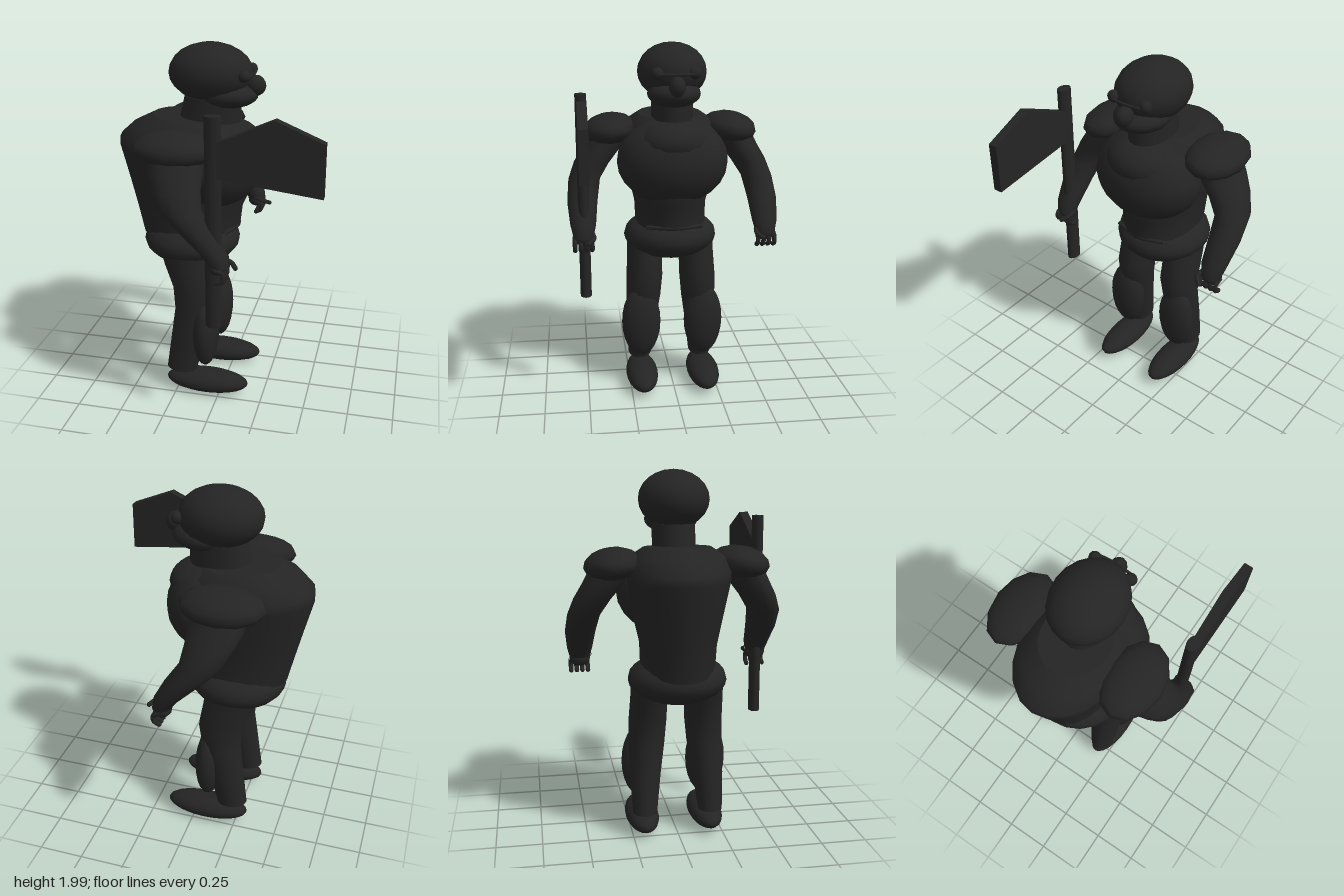
import * as THREE from 'three';

export function createModel() {
  const model = new THREE.Group();
  const charcoal = new THREE.MeshStandardMaterial({ color: 0x242424 });
  charcoal.name = 'charcoal';

  function add(name, geometry) {
    const mesh = new THREE.Mesh(geometry, charcoal);
    mesh.name = name;
    model.add(mesh);
    return mesh;
  }

  function ellipsoid(name, center, radii, w = 20, h = 12) {
    const mesh = add(name, new THREE.SphereGeometry(1, w, h));
    mesh.position.set(...center);
    mesh.scale.set(...radii);
    return mesh;
  }

  // Closed skin over horizontal ellipses, bottom to top: [x, y, z, rx, rz, slope]
  function loft(name, rings, side = 1, n = 20) {
    const pos = [], index = [];
    for (const [x, y, z, rx, rz, slope = 0] of rings) {
      for (let i = 0; i < n; i++) {
        const a = (i / n) * Math.PI * 2;
        pos.push(x + rx * Math.cos(a), y + slope * Math.cos(a), z * side + rz * Math.sin(a));
      }
    }
    for (let r = 0; r < rings.length - 1; r++) {
      for (let i = 0; i < n; i++) {
        const a = r * n + i, b = r * n + (i + 1) % n;
        index.push(a, a + n, b, b, a + n, b + n);
      }
    }
    // Caps use their own rim so that their edges stay sharp
    for (const top of [false, true]) {
      const [x, y, z] = rings[top ? rings.length - 1 : 0];
      const src = top ? (rings.length - 1) * n : 0;
      const rim = pos.length / 3;
      for (let i = 0; i < n * 3; i++) pos.push(pos[src * 3 + i]);
      pos.push(x, y, z * side);
      for (let i = 0; i < n; i++) {
        const a = rim + i, b = rim + (i + 1) % n;
        index.push(...(top ? [b, a, rim + n] : [a, b, rim + n]));
      }
    }
    const g = new THREE.BufferGeometry();
    g.setAttribute('position', new THREE.Float32BufferAttribute(pos, 3));
    g.setIndex(index);
    g.computeVertexNormals();
    return add(name, g);
  }

  function rod(name, points, radius) {
    const curve = new THREE.CatmullRomCurve3(points.map(p => new THREE.Vector3(...p)));
    return add(name, new THREE.TubeGeometry(curve, 8, radius, 8));
  }

  // Head and face
  ellipsoid('head', [-0.087, 1.845, 0], [0.226, 0.155, 0.19]);
  ellipsoid('jaw', [0.005, 1.735, 0], [0.165, 0.075, 0.145]);
  ellipsoid('nose', [0.155, 1.785, 0], [0.055, 0.055, 0.045], 12, 8);
  for (const s of [1, -1]) {
    ellipsoid('eye', [0.113, 1.85, s * 0.1], [0.032, 0.032, 0.034], 12, 8);
  }
  rod('eyeBar', [[0.135, 1.845, -0.11], [0.145, 1.845, 0], [0.135, 1.845, 0.11]], 0.008);
  loft('neck', [[-0.1, 1.53, 0, 0.175, 0.115], [-0.075, 1.72, 0, 0.155, 0.115]]);

  // Trunk
  loft('torso', [
    [-0.2, 0.96, 0, 0.275, 0.2, 0.03],
    [-0.21, 1.1, 0, 0.3, 0.205, 0.015],
    [-0.2, 1.235, 0, 0.345, 0.235],
    [-0.235, 1.44, 0, 0.36, 0.27],
    [-0.235, 1.49, 0, 0.358, 0.27],
    [-0.22, 1.56, 0, 0.295, 0.245],
    [-0.2, 1.605, 0, 0.205, 0.18, -0.01],
  ]);
  ellipsoid('chest', [-0.05, 1.36, 0], [0.245, 0.25, 0.31]);
  ellipsoid('collar', [-0.01, 1.475, 0], [0.195, 0.125, 0.21]);
  ellipsoid('pelvis', [-0.2, 0.9, 0], [0.27, 0.135, 0.268]);
  rod('beltFold', [[0.02, 0.995, -0.155], [0.065, 0.995, 0], [0.02, 0.995, 0.155]], 0.012);

  for (const s of [1, -1]) {
    // Shoulder and arm
    const shoulder = ellipsoid('shoulder', [-0.195, 1.52, s * 0.34], [0.225, 0.085, 0.153], 12, 8);
    shoulder.rotation.x = s * 0.12;
    loft('arm', [
      [0.075, 0.97, 0.505, 0.05, 0.055],
      [0.05, 1.03, 0.505, 0.066, 0.07],
      [-0.035, 1.14, 0.505, 0.092, 0.083],
      [-0.13, 1.25, 0.49, 0.112, 0.088],
      [-0.16, 1.34, 0.445, 0.128, 0.1],
      [-0.18, 1.42, 0.39, 0.145, 0.11],
      [-0.19, 1.5, 0.35, 0.145, 0.11],
    ], s, 16);

    // Hand with curled fingers
    ellipsoid('palm', [0.07, 0.965, s * 0.505], [0.05, 0.045, 0.058], 12, 8);
    for (let i = 0; i < 4; i++) {
      const z = s * (0.46 + i * 0.031);
      rod('finger', [[0.06, 0.965, z], [0.105, 0.945, z], [0.105, 0.91, z], [0.075, 0.893, z]], 0.013);
      ellipsoid('fingertip', [0.075, 0.893, z], [0.013, 0.013, 0.013], 8, 6);
    }
    rod('thumb', [[0.07, 0.985, s * 0.455], [0.125, 0.97, s * 0.45], [0.155, 0.952, s * 0.48]], 0.013);
    ellipsoid('thumbTip', [0.155, 0.952, s * 0.48], [0.013, 0.013, 0.013], 8, 6);

    // Leg, shin and foot
    loft('leg', [
      [-0.225, 0.142, 0.183, 0.087, 0.067, -0.008],
      [-0.185, 0.35, 0.175, 0.1, 0.085],
      [-0.15, 0.53, 0.162, 0.112, 0.1],
      [-0.145, 0.66, 0.155, 0.128, 0.105],
      [-0.18, 0.79, 0.152, 0.14, 0.102],
      [-0.2, 0.89, 0.15, 0.15, 0.1],
    ], s, 16);
    ellipsoid('shin', [-0.082, 0.395, s * 0.182], [0.075, 0.215, 0.113], 16, 12);
    ellipsoid('foot', [-0.075, 0.073, s * 0.182], [0.24, 0.066, 0.093], 24, 12);
  }

  // Axe held upright on the left-hand side of the page
  const handle = add('axeHandle', new THREE.CylinderGeometry(1, 1, 1.125, 16));
  handle.position.set(0.045, 1.182, 0.5);
  handle.scale.set(0.043, 1, 0.031);
  const outline = [[0.05, 1.61], [0.35, 1.745], [0.59, 1.645], [0.59, 1.375], [0.05, 1.44]];
  const blade = add('axeBlade', new THREE.ExtrudeGeometry(
    new THREE.Shape(outline.map(p => new THREE.Vector2(...p))), { depth: 0.05, bevelEnabled: false }));
  blade.position.z = 0.474;

  return model;
}
